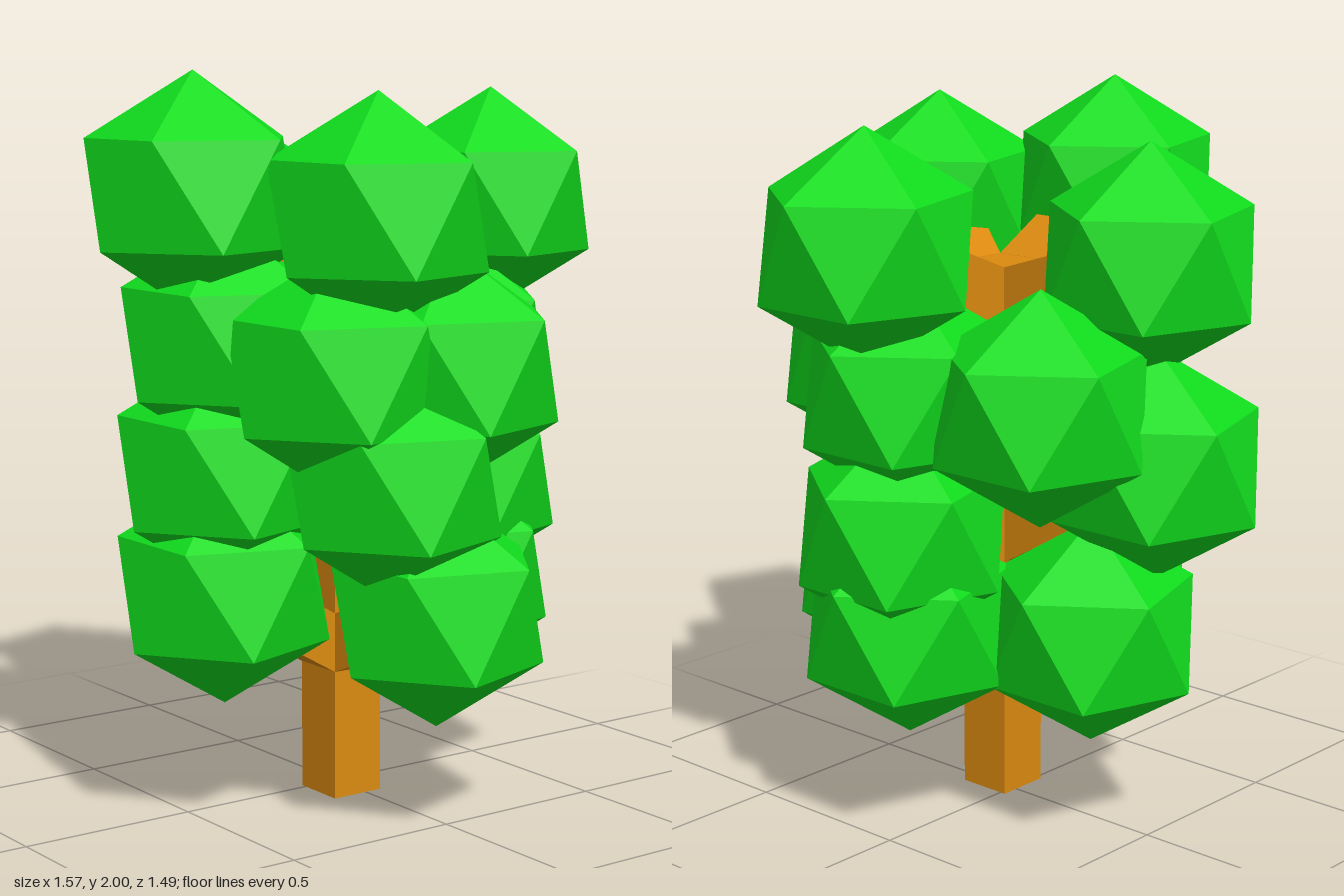
import * as THREE from 'three';

const bark = new THREE.MeshStandardMaterial({ color: 0xdb8a10, flatShading: true });
const leaf = new THREE.MeshStandardMaterial({ color: 0x11dd1d, flatShading: true });

const RADIUS = 0.317;
const TRUNK = { x: -0.028, z: 0.062, width: 0.156, height: 1.53 };

// Leaf clusters per level, lowest first: side of the trunk and centre
const LEVELS = [
  [['left', 0.354, 0.58, 0.06], ['right', -0.417, 0.624, 0.06],
    ['front', -0.017, 0.585, 0.475], ['back', 0.05, 0.57, -0.336]],
  [['left', 0.376, 0.85, 0.06], ['right', -0.413, 0.95, 0.06],
    ['front', -0.166, 0.942, 0.475], ['back', -0.044, 1.043, -0.473]],
  [['left', 0.349, 1.228, 0.06], ['right', -0.397, 1.29, 0.06],
    ['front', 0.024, 1.228, 0.475], ['front', -0.295, 1.228, 0.4],
    ['back', 0.27, 1.228, -0.342]],
  [['left', 0.497, 1.633, 0.06], ['right', -0.503, 1.683, 0.06],
    ['front', -0.216, 1.633, 0.475], ['back', -0.058, 1.583, -0.432]],
];

const AXES = {
  left: new THREE.Vector3(1, 0, 0),
  right: new THREE.Vector3(-1, 0, 0),
  front: new THREE.Vector3(0, 0, 1),
  back: new THREE.Vector3(0, 0, -1),
};

// Icosahedron turned so that one corner points straight up
function leafGeometry() {
  const t = (1 + Math.sqrt(5)) / 2;
  return new THREE.IcosahedronGeometry(RADIUS, 0).rotateZ(-Math.atan(1 / t));
}

// Box sheared from a trunk face towards a leaf cluster
function branchGeometry(axis, y, target) {
  const w = TRUNK.width;
  const base = new THREE.Vector3(TRUNK.x, y, TRUNK.z).addScaledVector(axis, w / 2);
  const end = base.clone().lerp(target, 0.75);
  const alongX = axis.x !== 0;
  const geometry = new THREE.BoxGeometry(alongX ? 1 : w, 0.165, alongX ? w : 1);
  const pos = geometry.attributes.position;
  const p = new THREE.Vector3();
  for (let i = 0; i < pos.count; i++) {
    p.fromBufferAttribute(pos, i);
    const along = p.dot(axis);
    p.addScaledVector(axis, -along).add(base.clone().lerp(end, along + 0.5));
    pos.setXYZ(i, p.x, p.y, p.z);
  }
  geometry.computeVertexNormals();
  return geometry;
}

export function createModel() {
  const tree = new THREE.Group();
  tree.name = 'tree';

  // Trunk
  const trunk = new THREE.Mesh(
    new THREE.BoxGeometry(TRUNK.width, TRUNK.height, TRUNK.width), bark);
  trunk.position.set(TRUNK.x, TRUNK.height / 2, TRUNK.z);
  trunk.name = 'trunk';
  tree.add(trunk);

  // Branches, each ending in a leaf cluster
  const clusterShape = leafGeometry();
  LEVELS.forEach((clusters, level) => {
    const branchY = 0.443 + level * 0.335;
    for (const [side, x, y, z] of clusters) {
      const centre = new THREE.Vector3(x, y, z);
      const branch = new THREE.Mesh(branchGeometry(AXES[side], branchY, centre), bark);
      branch.name = `${side}Branch${level + 1}`;
      const cluster = new THREE.Mesh(clusterShape, leaf);
      cluster.position.copy(centre);
      cluster.name = `${side}LeafCluster${level + 1}`;
      tree.add(branch, cluster);
    }
  });

  return tree;
}
